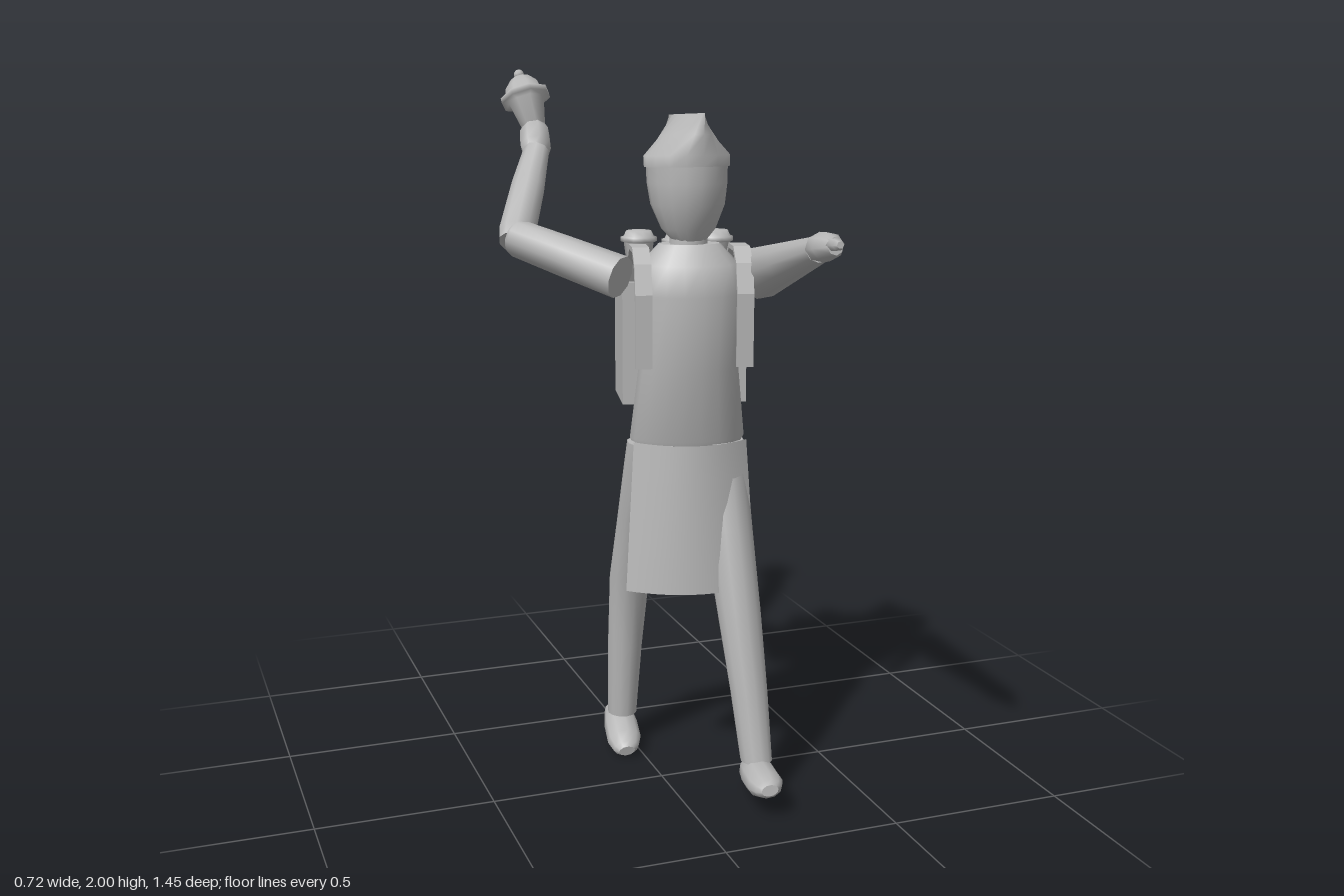
import * as THREE from 'three';
import { ParametricGeometry } from 'three/addons/geometries/ParametricGeometry.js';

const clay = new THREE.MeshStandardMaterial({ color: 0xb8b8b8 });
clay.name = 'plain grey';
clay.side = THREE.DoubleSide;

const V = (x, y, z) => new THREE.Vector3(x, y, z);

// Closed loft through horizontal elliptical rings [y, cx, cz, rx, rz]
function loft(rings, n = 12) {
  const pos = [], idx = [];
  const addRing = ([y, cx, cz, rx, rz]) => {
    for (let j = 0; j < n; j++) {
      const a = (j / n) * Math.PI * 2;
      pos.push(cx + rx * Math.cos(a), y, cz + rz * Math.sin(a));
    }
  };
  rings.forEach(addRing);
  for (let i = 0; i < rings.length - 1; i++) {
    for (let j = 0; j < n; j++) {
      const a = i * n + j, b = i * n + (j + 1) % n;
      idx.push(a, a + n, b, b, a + n, b + n);
    }
  }
  // End caps have their own vertices so their edges stay crisp
  [rings[0], rings[rings.length - 1]].forEach((r, top) => {
    const s = pos.length / 3;
    addRing(r);
    pos.push(r[1], r[0], r[2]);
    for (let j = 0; j < n; j++) {
      const k = (j + 1) % n;
      idx.push(s + n, s + (top ? k : j), s + (top ? j : k));
    }
  });
  const g = new THREE.BufferGeometry();
  g.setAttribute('position', new THREE.Float32BufferAttribute(pos, 3));
  g.setIndex(idx);
  g.computeVertexNormals();
  return g;
}

function add(parent, name, geometry) {
  const m = new THREE.Mesh(geometry, clay);
  m.name = name;
  parent.add(m);
  return m;
}

// Loft running from a to b; sections are [t, rx, rz] along the way
function limb(parent, name, a, b, sections, n = 10) {
  const d = b.clone().sub(a), len = d.length();
  const m = add(parent, name, loft(sections.map(([t, rx, rz = rx]) => [t * len, 0, 0, rx, rz]), n));
  m.position.copy(a);
  m.quaternion.setFromUnitVectors(V(0, 1, 0), d.normalize());
  return m;
}

const lathe = (pts, n) => new THREE.LatheGeometry(pts.map(p => new THREE.Vector2(...p)), n);

export function createModel() {
  const model = new THREE.Group();
  model.name = 'vendor';

  // Upper body, turned slightly to its right
  const body = new THREE.Group();
  body.name = 'upperBody';
  body.position.set(0.09, 0, -0.03);
  body.rotation.y = -0.22;
  model.add(body);

  add(body, 'torso', loft([
    [0.87, 0, -0.06, 0.06, 0.045], [0.91, 0, -0.05, 0.12, 0.075], [1.0, 0, -0.03, 0.162, 0.09],
    [1.2, 0, -0.005, 0.14, 0.098], [1.41, 0, 0.01, 0.152, 0.108], [1.49, 0, 0, 0.137, 0.085],
    [1.545, 0, -0.005, 0.085, 0.05]], 18));

  // Apron: an open curved sheet that widens toward the hem
  add(body, 'apron', new ParametricGeometry((u, v, p) => {
    const s = u * 2 - 1;
    const half = 0.158 + 0.026 * v;
    p.set(s * half, 1.0 - 0.42 * v, 0.105 + 0.022 * v - (0.07 - 0.012 * v) * s * s);
  }, 14, 4));

  // Carrying straps over both shoulders
  const strapPath = [[0.114, 1.22], [0.116, 1.42], [0.09, 1.5], [0.04, 1.54], [-0.04, 1.54], [-0.1, 1.49], [-0.15, 1.39]];
  const inner = strapPath.map(([z, y]) => [z * 0.91, y > 1.45 ? y - 0.013 : y]).reverse();
  const strapShape = new THREE.Shape([...strapPath, ...inner].map(p => new THREE.Vector2(...p)));
  for (const side of [-1, 1]) {
    const g = new THREE.ExtrudeGeometry(strapShape, { depth: 0.046, bevelEnabled: false });
    g.translate(0, 0, -0.023);
    g.rotateY(-Math.PI / 2);
    add(body, side < 0 ? 'rightStrap' : 'leftStrap', g).position.x = side * 0.138;
  }

  // Box on the back
  const tray = new THREE.Group();
  tray.name = 'backBox';
  tray.position.set(0.143, 0, -0.245);
  tray.rotation.y = -0.22;
  model.add(tray);
  add(tray, 'box', new THREE.BoxGeometry(0.355, 0.32, 0.215)).position.y = 1.235;
  add(tray, 'boxLid', new THREE.BoxGeometry(0.376, 0.036, 0.237)).position.y = 1.408;

  // Cups standing on the box
  const cupProfile = [[0, 0], [0.031, 0], [0.043, 0.095], [0.052, 0.097], [0.052, 0.11], [0.043, 0.113], [0.036, 0.128], [0, 0.131]];
  for (const [x, z] of [[0.042, -0.314], [0.257, -0.26], [0.134, -0.222]]) {
    add(model, 'cup', lathe(cupProfile, 10)).position.set(x, 1.425, z);
  }

  // Neck, head and folded cap
  add(model, 'neck', loft([[1.51, 0.09, -0.035, 0.055, 0.052], [1.6, 0.09, -0.037, 0.05, 0.05]]));
  add(model, 'head', loft([
    [1.555, 0.09, -0.033, 0.048, 0.048], [1.585, 0.09, -0.038, 0.075, 0.07], [1.65, 0.09, -0.045, 0.101, 0.105],
    [1.71, 0.09, -0.05, 0.109, 0.117], [1.775, 0.09, -0.052, 0.11, 0.12]], 16));
  const cap = loft([
    [1.75, 0.092, -0.057, 0.115, 0.127], [1.78, 0.092, -0.058, 0.116, 0.13],
    [1.835, 0.092, -0.06, 0.06, 0.135], [1.89, 0.092, -0.062, 0.004, 0.139]], 16);
  const cp = cap.attributes.position;
  for (let i = 0; i < cp.count; i++) cp.setY(i, cp.getY(i) + 0.05 * (cp.getZ(i) + 0.06));
  cap.computeVertexNormals();
  add(model, 'cap', cap);

  // Left arm, stretched forward and pointing
  limb(model, 'leftArm', V(0.298, 1.452, -0.035), V(0.207, 1.59, 0.555),
    [[0, 0.058, 0.072], [0.06, 0.062, 0.074], [0.5, 0.053, 0.055], [1, 0.037, 0.034]]);
  limb(model, 'leftHand', V(0.206, 1.592, 0.54), V(0.19, 1.61, 0.675),
    [[0, 0.03], [0.25, 0.043, 0.037], [0.6, 0.041, 0.035], [1, 0.02, 0.022]], 8);
  limb(model, 'leftFinger', V(0.188, 1.612, 0.65), V(0.181, 1.618, 0.72), [[0, 0.018], [0.8, 0.015], [1, 0.009]], 6);

  // Right arm, bent and raised behind
  limb(model, 'rightUpperArm', V(-0.095, 1.455, -0.07), V(-0.32, 1.545, -0.335),
    [[0, 0.06], [0.5, 0.057], [0.97, 0.053], [1, 0.046]]);
  limb(model, 'rightForearm', V(-0.322, 1.53, -0.325), V(-0.195, 1.77, -0.54),
    [[0, 0.046], [0.1, 0.053], [0.6, 0.049], [1, 0.038]]);
  limb(model, 'rightHand', V(-0.198, 1.755, -0.53), V(-0.178, 1.845, -0.625),
    [[0, 0.034], [0.3, 0.046], [0.7, 0.045], [1, 0.028]], 8);

  // Held cup with a domed top and knob
  const held = new THREE.Group();
  held.name = 'heldCup';
  held.position.set(-0.18, 1.82, -0.605);
  held.quaternion.setFromUnitVectors(V(0, 1, 0), V(-0.11, 0.85, -0.48).normalize());
  model.add(held);
  add(held, 'heldCupBody', lathe([[0, 0], [0.032, 0], [0.054, 0.1], [0.075, 0.105], [0.075, 0.122], [0.058, 0.125],
    [0.052, 0.15], [0.03, 0.176], [0, 0.184]], 8));
  add(held, 'heldCupKnob', new THREE.SphereGeometry(0.016, 8, 6)).position.y = 0.19;

  // Legs in mid stride
  add(model, 'leftLeg', loft([
    [0.99, 0.18, -0.05, 0.075, 0.097], [0.94, 0.183, -0.035, 0.075, 0.095], [0.75, 0.187, 0.03, 0.068, 0.08],
    [0.52, 0.194, 0.102, 0.062, 0.063], [0.3, 0.205, 0.155, 0.053, 0.053], [0.11, 0.211, 0.2, 0.045, 0.046]]));
  add(model, 'rightLeg', loft([
    [0.99, 0.0, -0.065, 0.075, 0.085], [0.92, -0.003, -0.085, 0.075, 0.083], [0.75, -0.012, -0.15, 0.066, 0.07],
    [0.545, -0.019, -0.23, 0.059, 0.06], [0.33, -0.025, -0.257, 0.051, 0.055], [0.1, -0.027, -0.282, 0.043, 0.048]]));

  // Shoes, heel to toe
  const shoe = [[0, 0.025, 0.024], [0.1, 0.042, 0.04], [0.4, 0.05, 0.046], [0.75, 0.05, 0.036], [0.93, 0.038, 0.026], [1, 0.024, 0.016]];
  limb(model, 'leftShoe', V(0.22, 0.065, 0.148), V(0.182, 0.092, 0.368), shoe);
  limb(model, 'rightShoe', V(-0.018, 0.083, -0.362), V(-0.055, 0.026, -0.152), shoe);

  return model;
}
